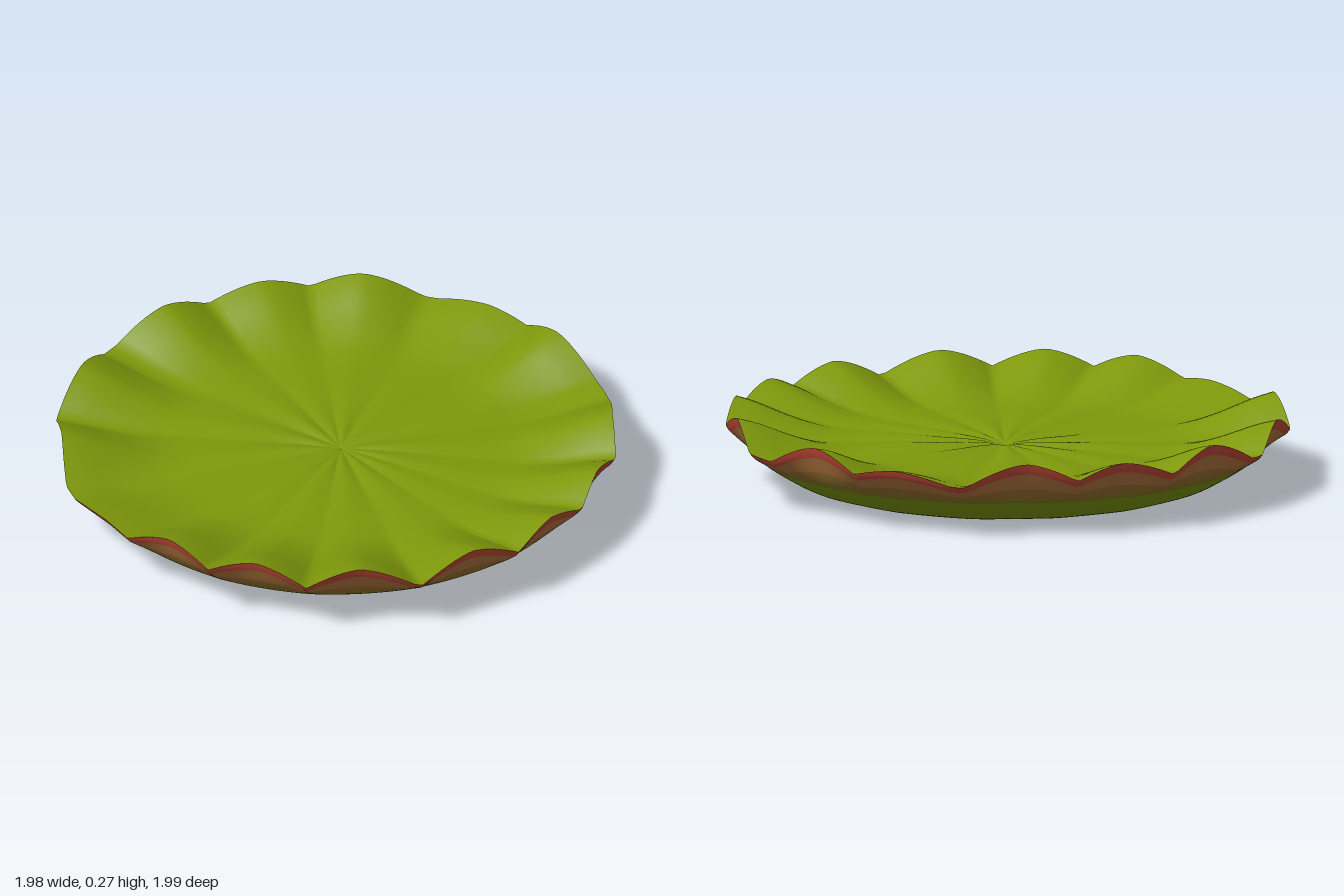
import * as THREE from 'three';

const SEG = 240;
const VALLEY = 0.19;
const CREST_WIDTH = 12.5;

// crests of the wavy rim: [degrees from the front towards +x, height]
const CRESTS = [
  [10, 0.272], [32, 0.272], [57, 0.272], [78, 0.265], [98, 0.272], [120, 0.272],
  [154, 0.272], [174, 0.232], [202, 0.272], [223, 0.258], [246, 0.272],
  [275, 0.27], [302, 0.272], [332, 0.22], [350, 0.272],
];

const mat = (name, color) => {
  const m = new THREE.MeshStandardMaterial({ color, side: THREE.DoubleSide });
  m.name = name;
  return m;
};

// rim height at an angle: rounded crests meeting in tight valleys
function rimHeight(deg) {
  let h = VALLEY;
  for (const [angle, top] of CRESTS) {
    const d = Math.abs(((deg - angle + 540) % 360) - 180) / CREST_WIDTH;
    if (d < 1) h = Math.max(h, VALLEY + (top - VALLEY) * (1 - d * d) * (1 - 0.25 * d));
  }
  return h;
}

// sweeps a radial profile around the pad, adding ruffles that grow towards the rim
function padSurface(points, rings, ruffleStart, groove, faceUp, materialAt) {
  const profile = new THREE.SplineCurve(points.map(([r, y]) => new THREE.Vector2(r, y))).getPoints(rings);
  const pos = [], index = [];
  const geo = new THREE.BufferGeometry();
  for (const p of profile) {
    const w = THREE.MathUtils.smoothstep(p.x, ruffleStart, 1.05) / THREE.MathUtils.smoothstep(1, ruffleStart, 1.05);
    const vein = groove * THREE.MathUtils.smoothstep(p.x, 0, 0.15) * (1 - w);
    for (let j = 0; j < SEG; j++) {
      const a = (j / SEG) * Math.PI * 2;
      const lift = rimHeight((j / SEG) * 360) - 0.2;
      const r = p.x * (1 - w * 0.3 * (lift + 0.01));
      // the folds meet slightly behind the middle
      pos.push(r * Math.sin(a), p.y + lift * (w + vein), r * Math.cos(a) - 0.03 * (1 - p.x));
    }
  }
  for (let i = 0; i < rings; i++) {
    geo.addGroup(index.length, SEG * 6, materialAt((profile[i].x + profile[i + 1].x) / 2));
    for (let j = 0; j < SEG; j++) {
      const k = (j + 1) % SEG;
      const a = i * SEG + j, b = a + SEG, c = (i + 1) * SEG + k, d = i * SEG + k;
      if (faceUp) index.push(a, b, c, a, c, d);
      else index.push(a, c, b, a, d, c);
    }
  }
  geo.setAttribute('position', new THREE.Float32BufferAttribute(pos, 3));
  geo.setIndex(index);
  geo.computeVertexNormals();
  return geo;
}

export function createModel() {
  const group = new THREE.Group();
  group.name = 'lilyPad';
  const green = mat('leafGreen', 0x7f980b);

  // upper leaf: nearly flat middle with shallow radial folds, ruffled border
  const top = padSurface(
    [[0.001, 0.138], [0.06, 0.146], [0.3, 0.149], [0.58, 0.147], [0.68, 0.15], [0.8, 0.165], [0.92, 0.188], [1, 0.2]],
    56, 0.52, 0.1, true, () => 0);
  const leaf = new THREE.Mesh(top, [green]);
  leaf.name = 'upperLeaf';

  // underside: flat base, rounded wall, colour bands turning red at the lip
  const limits = [0.885, 0.912, 0.94, 0.98];
  const under = padSurface(
    [[0.001, 0.014], [0.1, 0.008], [0.35, 0.005], [0.6, 0.003], [0.73, 0.024], [0.83, 0.074], [0.91, 0.126], [0.965, 0.165], [0.987, 0.182], [1, 0.2]],
    100, 0.88, 0.03, false, (r) => limits.filter((l) => r > l).length);
  const base = new THREE.Mesh(under, [
    green,
    mat('oliveBrown', 0x887a22),
    mat('warmBrown', 0x98702f),
    mat('tan', 0xb4763f),
    mat('rimRed', 0xc24a38),
  ]);
  base.name = 'underside';

  group.add(leaf, base);
  return group;
}
